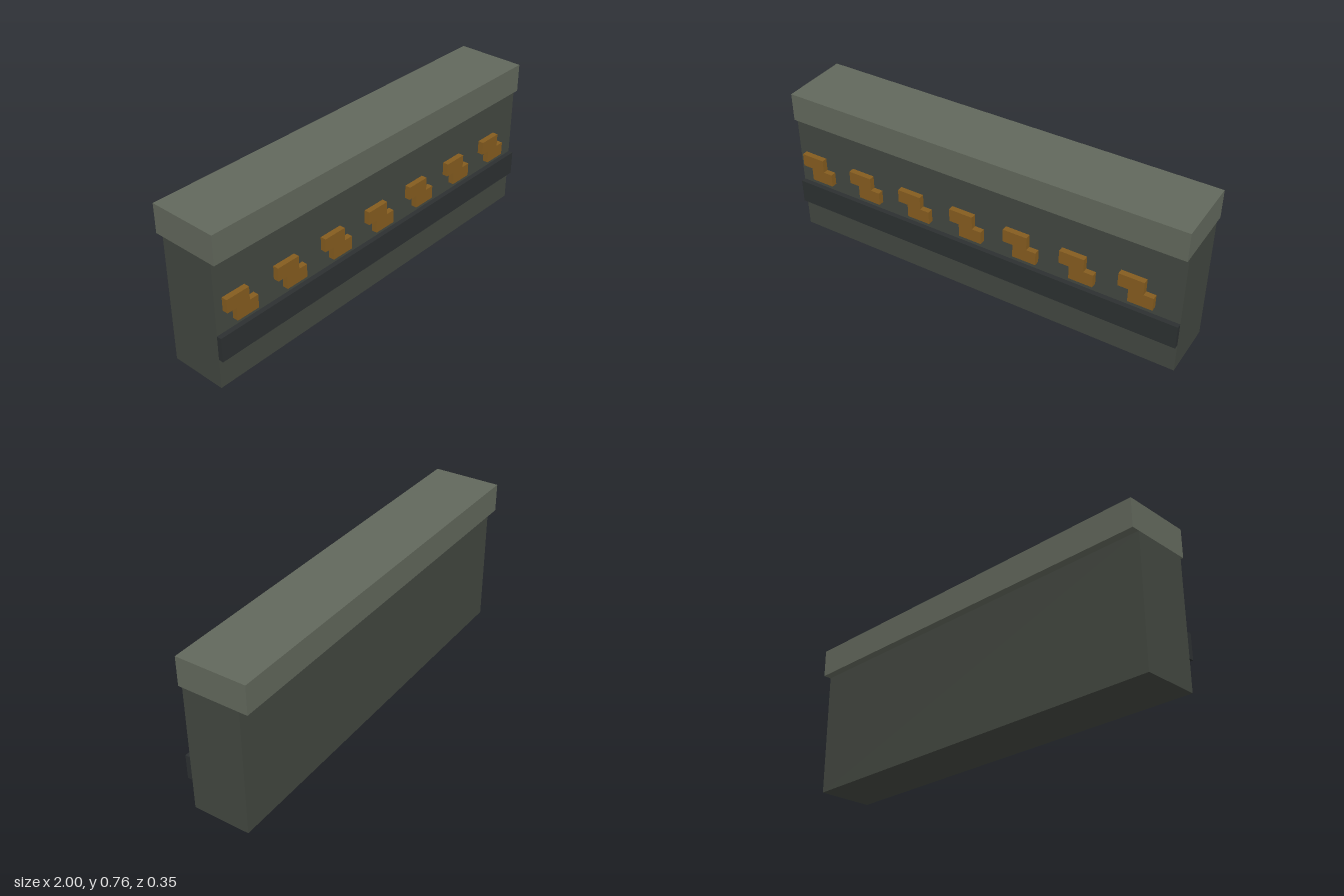
import * as THREE from 'three';

const material = (color) => new THREE.MeshStandardMaterial({ color });

export function createModel() {
  const model = new THREE.Group();
  model.name = 'parapetWall';

  // Full-length block given by its y and z extents
  const addBlock = (name, color, y0, y1, z0, z1) => {
    const mesh = new THREE.Mesh(new THREE.BoxGeometry(2, y1 - y0, z1 - z0), material(color));
    mesh.position.set(0, (y0 + y1) / 2, (z0 + z1) / 2);
    mesh.name = name;
    model.add(mesh);
  };
  addBlock('wallBody', 0x424740, 0, 0.62, -0.135, 0.145);
  addBlock('copingCap', 0x62685c, 0.62, 0.76, -0.175, 0.165);
  addBlock('frontBand', 0x2c3031, 0.15, 0.27, 0.145, 0.169);

  // Stepped ornament, centred on its own origin
  const outline = new THREE.Shape([
    [-0.083, 0.065], [-0.083, 0], [-0.033, 0], [-0.033, -0.065],
    [0.083, -0.065], [0.083, 0], [0.037, 0], [0.037, 0.065],
  ].map(([x, y]) => new THREE.Vector2(x, y)));
  const ornamentGeometry = new THREE.ExtrudeGeometry(outline, { depth: 0.028, bevelEnabled: false });
  const ornamentMaterial = material(0x855c1f);

  // Row of seven ornaments, standing just off the wall face
  const row = new THREE.Group();
  row.name = 'ornamentRow';
  for (let i = 0; i < 7; i++) {
    const ornament = new THREE.Mesh(ornamentGeometry, ornamentMaterial);
    ornament.position.set(-0.88 + i * 0.28, 0.38, 0.149);
    ornament.name = `steppedOrnament${i + 1}`;
    row.add(ornament);
  }
  model.add(row);
  return model;
}
